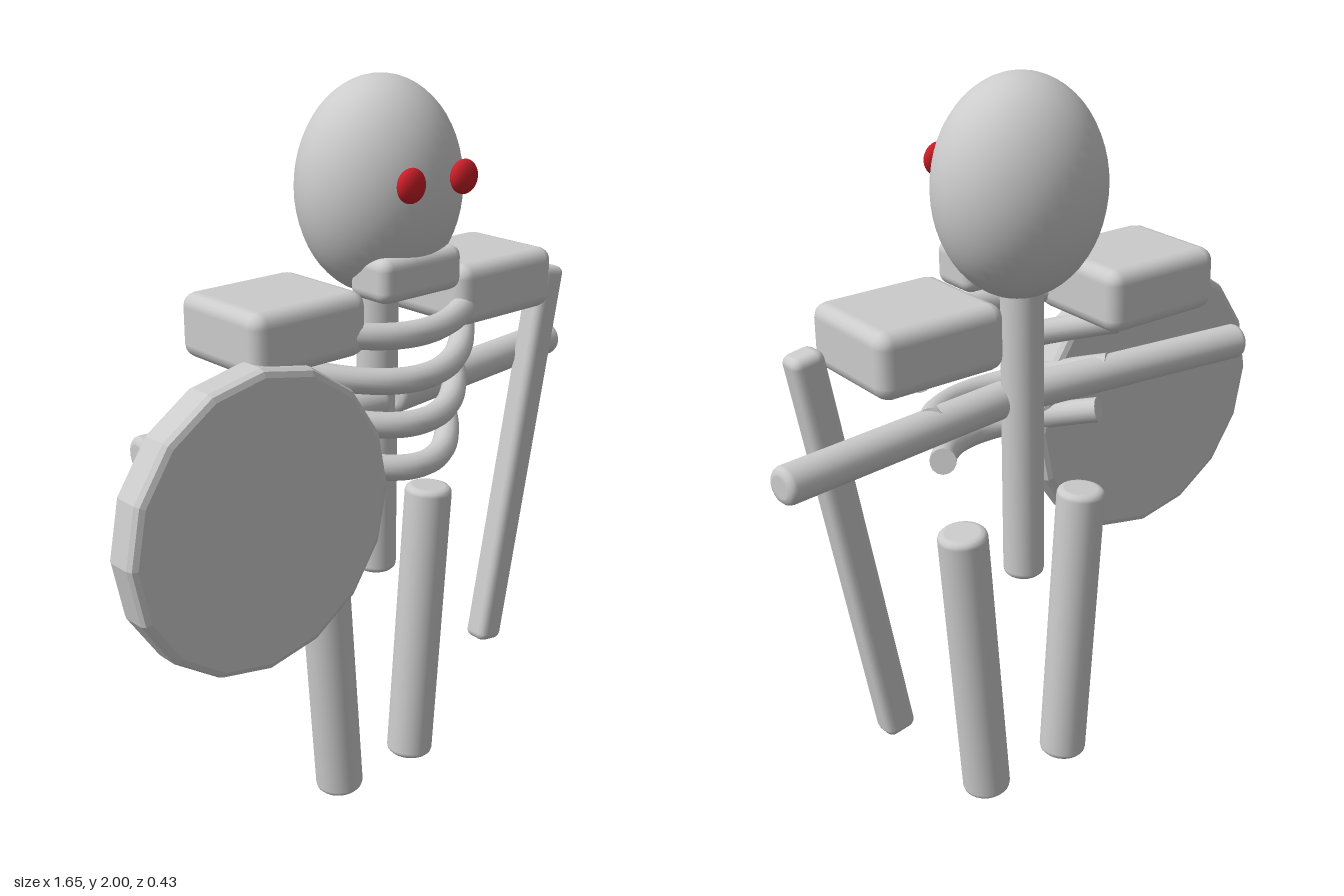
import * as THREE from 'three';
import { RoundedBoxGeometry } from 'three/addons/geometries/RoundedBoxGeometry.js';

const CX = 0.087; // middle of the body
const CZ = -0.022; // depth of the spine
const grey = new THREE.MeshStandardMaterial({ color: 0xcccccc });
const greyFlat = new THREE.MeshStandardMaterial({ color: 0xcccccc, flatShading: true });
const red = new THREE.MeshStandardMaterial({ color: 0xc81e28 });
const v = (x, y, z) => new THREE.Vector3(x, y, z);

export function createModel() {
  const model = new THREE.Group();

  function add(name, geometry, position, material = grey) {
    const mesh = new THREE.Mesh(geometry, material);
    mesh.name = name;
    mesh.position.copy(position);
    model.add(mesh);
    return mesh;
  }

  // Upright cylinder with rounded rims, centred on its own origin
  function bevelledCylinder(r, length, bevel, sides, steps) {
    const h = length / 2;
    const half = [];
    for (let i = 0; i <= steps; i++) {
      const a = (i / steps) * Math.PI / 2;
      half.push([r - bevel + bevel * Math.sin(a), h - bevel + bevel * Math.cos(a)]);
    }
    half.unshift([0, h], [r - bevel - 0.002, h]);
    const lower = half.map(([x, y]) => new THREE.Vector2(x, -y));
    const upper = half.map(([x, y]) => new THREE.Vector2(x, y)).reverse();
    return new THREE.LatheGeometry([...lower, ...upper], sides);
  }

  // Aim a mesh's y axis from a to b
  function aim(mesh, a, b) {
    mesh.quaternion.setFromUnitVectors(v(0, 1, 0), b.clone().sub(a).normalize());
  }

  function bone(name, a, b, r) {
    const mesh = add(name, bevelledCylinder(r, a.distanceTo(b), 0.018, 28, 3),
      a.clone().add(b).multiplyScalar(0.5));
    aim(mesh, a, b);
  }

  // Skull, jaw and eyes
  add('skull', new THREE.SphereGeometry(1, 40, 28), v(CX, 1.725, -0.018)).scale.set(0.226, 0.275, 0.198);
  add('jaw', new RoundedBoxGeometry(0.275, 0.115, 0.14, 3, 0.03), v(CX, 1.523, 0.085));
  for (const s of [-1, 1]) {
    add(s > 0 ? 'leftEye' : 'rightEye', new THREE.SphereGeometry(1, 20, 14),
      v(CX + s * 0.089, 1.765, 0.192), red).scale.set(0.043, 0.043, 0.024);
  }

  bone('spine', v(CX, 0.66, CZ), v(CX, 1.52, CZ), 0.055);

  // Paired shoulders, arms and legs
  for (const s of [-1, 1]) {
    const side = s > 0 ? 'left' : 'right';
    add(side + 'Shoulder', new RoundedBoxGeometry(0.352, 0.165, 0.312, 2, 0.036),
      v(CX + s * 0.34, 1.427, -0.026));
    bone(side + 'Arm', v(CX + s * 0.015, 1.167, 0.015), v(CX + s * 0.731, 1.167, -0.068), 0.048);
    bone(side + 'Leg', v(CX + s * 0.138, 0.005, CZ), v(CX + s * 0.2, 0.85, CZ), 0.067);
  }

  // Ribs: tilted arcs bowing forwards, narrower towards the bottom
  for (let i = 0; i < 4; i++) {
    const w = 0.35 - i * 0.032;
    const y = 1.38 - i * 0.12;
    const curve = new THREE.QuadraticBezierCurve3(
      v(-w, y + 0.05, -0.025), v(0, y - 0.05, 0.333), v(w, y + 0.05, -0.025));
    add('rib' + (i + 1), new THREE.TubeGeometry(curve, 32, 0.034, 14), v(CX, 0, 0));
    for (const t of [0, 1]) {
      const out = curve.getTangent(t).multiplyScalar(t ? 1 : -1);
      const cap = add('ribEnd', new THREE.CircleGeometry(0.034, 14), curve.getPoint(t).add(v(CX, 0, 0)));
      cap.quaternion.setFromUnitVectors(v(0, 0, 1), out);
    }
  }

  // Round shield in front of the right arm
  add('shield', bevelledCylinder(0.395, 0.1, 0.02, 16, 2), v(-0.43, 0.998, 0.112), greyFlat)
    .rotation.x = Math.PI / 2;

  // Blade hanging beside the left arm
  const top = v(0.682, 1.43, 0.033);
  const tip = v(0.488, 0.31, 0.018);
  const blade = add('blade', new RoundedBoxGeometry(0.086, top.distanceTo(tip), 0.076, 2, 0.022),
    top.clone().add(tip).multiplyScalar(0.5));
  aim(blade, tip, top);

  return model;
}
